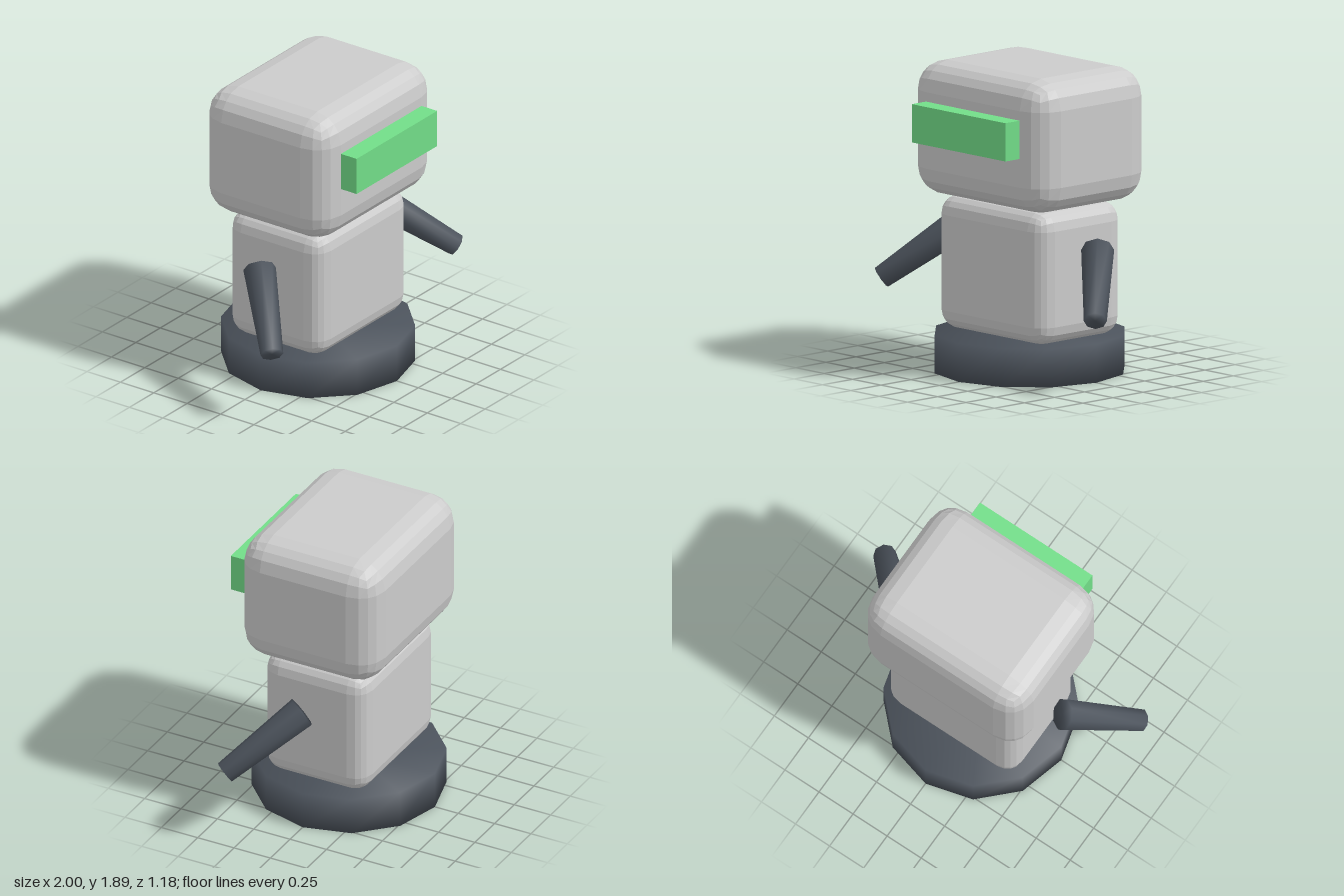
import * as THREE from 'three';
import { mergeVertices } from 'three/addons/utils/BufferGeometryUtils.js';
import { RoundedBoxGeometry } from 'three/addons/geometries/RoundedBoxGeometry.js';

const shell = new THREE.MeshStandardMaterial({ color: 0xcccccc, flatShading: true });
const dark = new THREE.MeshStandardMaterial({ color: 0x4b525b });
const green = new THREE.MeshStandardMaterial({ color: 0x72dd88 });

function part(name, geometry, material, x = 0, y = 0, z = 0) {
  const mesh = new THREE.Mesh(geometry, material);
  mesh.name = name;
  mesh.position.set(x, y, z);
  return mesh;
}

// Low-sided cylinder whose normals are blended across the rims
function softCylinder(top, bottom, height, sides) {
  const geometry = new THREE.CylinderGeometry(top, bottom, height, sides);
  geometry.deleteAttribute('uv');
  geometry.deleteAttribute('normal');
  const merged = mergeVertices(geometry);
  merged.computeVertexNormals();
  return merged;
}

// Tapered arm from shoulder to hand, reaching out, down and forward
function makeArm(name, side) {
  const shoulder = new THREE.Vector3(side * 0.6, 0.82, 0);
  const hand = new THREE.Vector3(side * 0.943, 0.477, 0.343);
  const axis = shoulder.clone().sub(hand);
  const arm = part(name, softCylinder(0.1, 0.07, axis.length(), 8), dark);
  arm.position.copy(shoulder).add(hand).multiplyScalar(0.5);
  arm.quaternion.setFromUnitVectors(new THREE.Vector3(0, 1, 0), axis.normalize());
  return arm;
}

export function createModel() {
  const robot = new THREE.Group();
  robot.name = 'robot';

  // Base, body and head stacked on the centre line
  robot.add(part('base', softCylinder(0.59, 0.59, 0.236, 12), dark, 0, 0.118, 0));
  robot.add(part('body', new RoundedBoxGeometry(0.945, 0.826, 0.708, 2, 0.118), shell, 0, 0.649, 0));
  robot.add(part('head', new RoundedBoxGeometry(1.18, 0.826, 0.945, 2, 0.177), shell, 0, 1.475, 0));

  // Visor set half into the face
  robot.add(part('visor', new THREE.BoxGeometry(0.826, 0.236, 0.236), green, 0, 1.535, 0.472));

  robot.add(makeArm('leftArm', 1), makeArm('rightArm', -1));
  return robot;
}
